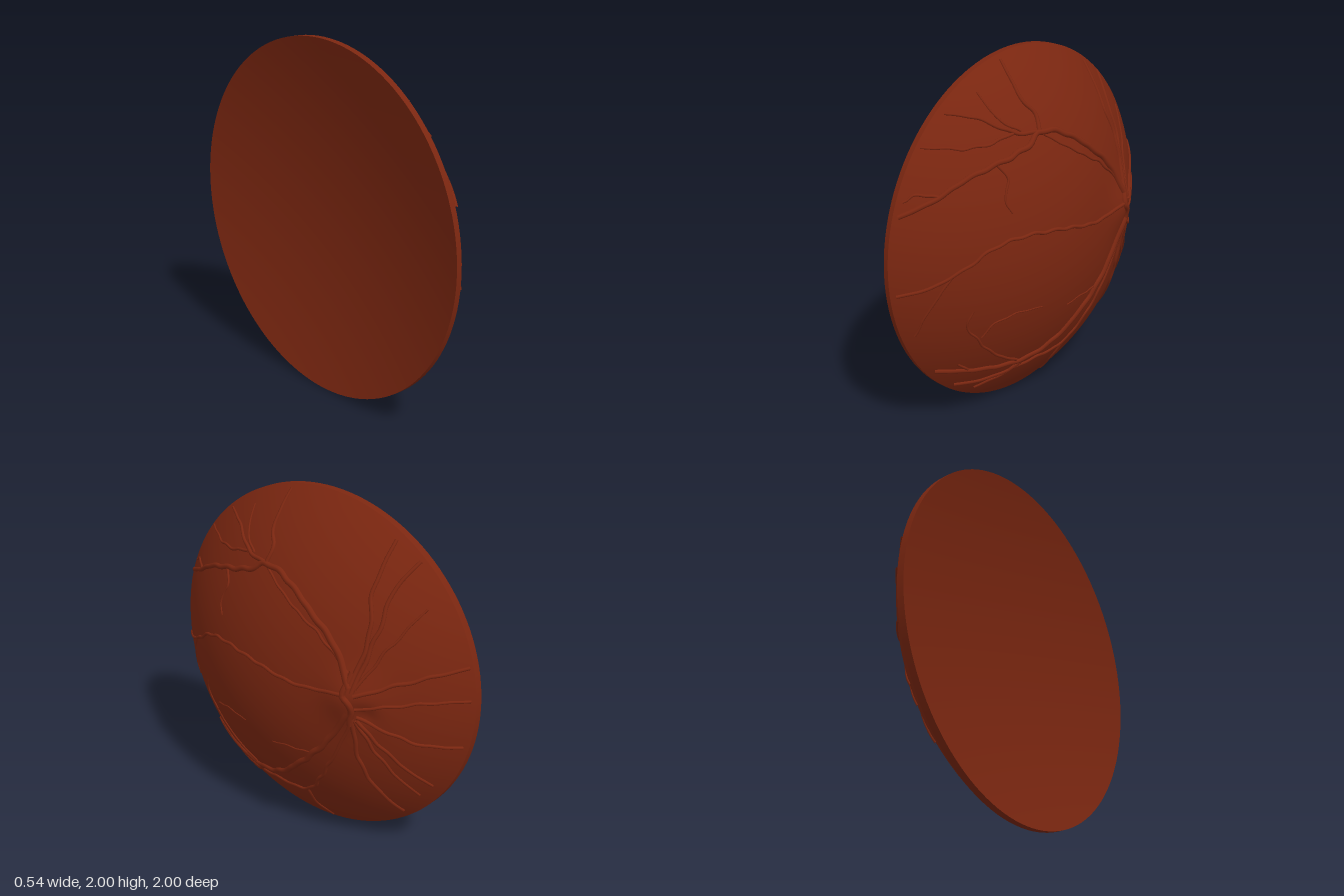
import * as THREE from 'three';
import { mergeVertices } from 'three/addons/utils/BufferGeometryUtils.js';

const TILT = 0.075;          // lean of the back rim, x per z
const HOLLOW = 0.13;         // depth of the shallow hollow in the back
const HUB = { z: -0.5, y: 1.05 };

// Height of the dome (x) above a point (z, y): a spherical cap with a raised, cupped hub
function surfaceX(z, y) {
  const cap = Math.sqrt(1.96 - (y - 1) ** 2 - (z - 0.067) ** 2) - 1.135;
  const d2 = (z - HUB.z) ** 2 + (y - HUB.y) ** 2;
  const cup2 = (z + 0.56) ** 2 + (y - 0.97) ** 2;
  return cap + 0.045 * Math.exp(-d2 / 0.02) - 0.025 * Math.exp(-cup2 / 0.003);
}

// Slightly hollow back, level with the leaning rim at radius 1
function backX(z, y) {
  return -0.197 + TILT * z + HOLLOW * (1 - z * z - (y - 1) ** 2);
}

// Round sheet facing +x (side 1) or -x (side -1), raised to a height rule
function sheet(side, rule) {
  const raw = new THREE.RingGeometry(0, 1, 128, 64).rotateY((side * Math.PI) / 2).translate(0, 1, 0);
  const pos = raw.attributes.position;
  for (let i = 0; i < pos.count; i++) pos.setX(i, rule(pos.getZ(i), pos.getY(i)));
  raw.deleteAttribute('uv');
  raw.deleteAttribute('normal');
  const geo = mergeVertices(raw);
  geo.computeVertexNormals();
  return geo;
}

// Tapered, slightly wavy vein lying half sunk in the dome; points are [z, y]
function veinGeometry(points, r0, r1, seed) {
  const flat = new THREE.CatmullRomCurve3(points.map(([z, y]) => new THREE.Vector3(0, y, z)));
  const n = Math.max(16, Math.round(flat.getLength() * 60));
  const path = flat.getSpacedPoints(n).map((p, i) => {
    const fade = Math.sin((Math.PI * i) / n);
    p.y += 0.005 * fade * Math.sin(i * 0.75 + seed * 2.1);
    p.z += 0.005 * fade * Math.sin(i * 0.55 + seed * 1.3);
    return p.setX(surfaceX(p.z, p.y));
  });
  const curve = new THREE.CatmullRomCurve3(path);
  const sides = 8;
  const geo = new THREE.TubeGeometry(curve, n, r0, sides);
  const pos = geo.attributes.position, v = new THREE.Vector3();
  for (let i = 0; i <= n; i++) {
    const c = curve.getPointAt(i / n);
    const scale = THREE.MathUtils.lerp(1, r1 / r0, i / n);
    for (let j = 0; j <= sides; j++) {
      const k = i * (sides + 1) + j;
      v.fromBufferAttribute(pos, k).sub(c).multiplyScalar(scale).add(c);
      pos.setXYZ(k, v.x, v.y, v.z);
    }
  }
  return geo;
}

// Courses of the veins as [z, y], with start and end radius
const VEINS = {
  upperArcade: [0.02, 0.013, [[-0.49, 1.12], [-0.37, 1.32], [-0.18, 1.48], [-0.02, 1.58], [0.14, 1.615],
    [0.25, 1.56], [0.44, 1.51], [0.6, 1.465], [0.78, 1.375], [0.93, 1.31]]],
  upperCompanion: [0.009, 0.007, [[-0.47, 1.19], [-0.29, 1.35], [-0.07, 1.48], [0.12, 1.6]]],
  upperTwig: [0.013, 0.008, [[0.14, 1.615], [0.13, 1.7], [0.18, 1.8], [0.18, 1.96]]],
  upperFork: [0.013, 0.007, [[0.14, 1.615], [0.3, 1.64], [0.46, 1.73], [0.6, 1.765]]],
  upperForkTip: [0.008, 0.005, [[0.25, 1.64], [0.36, 1.72], [0.4, 1.84]]],
  upperForkSide: [0.009, 0.006, [[0.3, 1.635], [0.52, 1.6], [0.76, 1.625]]],
  upperEdgeTwig: [0.01, 0.006, [[0.74, 1.39], [0.83, 1.41], [0.9, 1.38]]],
  upperDropTwig: [0.009, 0.005, [[0.44, 1.51], [0.4, 1.43], [0.44, 1.32], [0.41, 1.26]]],
  middleVein: [0.011, 0.009, [[-0.47, 1.08], [-0.18, 1.06], [0.09, 1.105], [0.36, 1.13], [0.52, 1.105],
    [0.68, 1.015], [0.84, 0.93], [0.97, 0.895]]],
  middleTwig: [0.008, 0.006, [[0.74, 0.98], [0.83, 0.82], [0.88, 0.65]]],
  lowerArcade: [0.02, 0.014, [[-0.49, 0.98], [-0.37, 0.785], [-0.26, 0.65], [-0.13, 0.52], [0.035, 0.385],
    [0.22, 0.32], [0.46, 0.33], [0.74, 0.38]]],
  lowerArcadeFork: [0.015, 0.009, [[0.22, 0.32], [0.3, 0.25], [0.46, 0.17]]],
  lowerTipFork: [0.012, 0.007, [[0.46, 0.33], [0.56, 0.35], [0.64, 0.41]]],
  lowerInnerTwig: [0.01, 0.006, [[0.28, 0.33], [0.42, 0.41], [0.52, 0.5], [0.65, 0.68], [0.63, 0.76]]],
  lowerFaintTwig: [0.006, 0.004, [[0.56, 0.58], [0.5, 0.66], [0.36, 0.69], [0.22, 0.68]]],
  lowerMidTwig: [0.006, 0.004, [[-0.25, 0.64], [-0.1, 0.635], [0.02, 0.62]]],
  lowerCompanion: [0.01, 0.012, [[-0.5, 0.92], [-0.34, 0.6], [-0.11, 0.3], [0.14, 0.28], [0.46, 0.23], [0.6, 0.24]]],
  lowerTwig: [0.01, 0.007, [[-0.11, 0.3], [-0.1, 0.17], [-0.13, 0.035]]],
  topRayA: [0.014, 0.01, [[-0.49, 1.1], [-0.53, 1.4], [-0.49, 1.59], [-0.5, 1.83]]],
  topRayB: [0.014, 0.01, [[-0.51, 1.1], [-0.57, 1.455], [-0.58, 1.615], [-0.64, 1.745]]],
  topRayC: [0.01, 0.006, [[-0.52, 1.12], [-0.635, 1.35], [-0.74, 1.535]]],
  sideRayA: [0.013, 0.01, [[-0.52, 1.08], [-0.77, 1.185], [-0.955, 1.25]]],
  sideRayB: [0.01, 0.008, [[-0.52, 1.0], [-0.82, 1.06], [-0.98, 1.07]]],
  sideRayC: [0.011, 0.009, [[-0.52, 0.95], [-0.8, 0.81], [-0.955, 0.79]]],
  bottomRayA: [0.014, 0.01, [[-0.5, 0.95], [-0.51, 0.65], [-0.565, 0.435], [-0.625, 0.275]]],
  bottomRayB: [0.011, 0.008, [[-0.51, 0.93], [-0.635, 0.65], [-0.74, 0.435]]],
  bottomRayC: [0.012, 0.009, [[-0.52, 0.93], [-0.69, 0.68], [-0.81, 0.515]]],
  hubVein: [0.018, 0.018, [[-0.49, 1.2], [-0.47, 1.08], [-0.5, 1.02], [-0.49, 0.9]]],
};

export function createModel() {
  const model = new THREE.Group();
  const rust = new THREE.MeshStandardMaterial({ color: 0x7a2610 });
  rust.name = 'rust red';
  const add = (name, geo, parent = model) => {
    const mesh = new THREE.Mesh(geo, rust);
    mesh.name = name;
    parent.add(mesh);
  };

  add('dome', sheet(1, surfaceX));
  add('hollowBack', sheet(-1, backX));

  // Edge band joining the dome to the back
  const band = new THREE.CylinderGeometry(1, 1, 1, 128, 1, true).rotateZ(-Math.PI / 2).translate(0, 1, 0);
  const bp = band.attributes.position;
  for (let i = 0; i < bp.count; i++) {
    const rule = bp.getX(i) > 0 ? surfaceX : backX;
    bp.setX(i, rule(bp.getZ(i), bp.getY(i)));
  }
  add('edgeBand', band);

  // Raised veins spreading from the hub
  const veins = new THREE.Group();
  veins.name = 'veins';
  model.add(veins);
  Object.entries(VEINS).forEach(([name, [r0, r1, points]], i) => add(name, veinGeometry(points, r0, r1, i), veins));

  return model;
}
